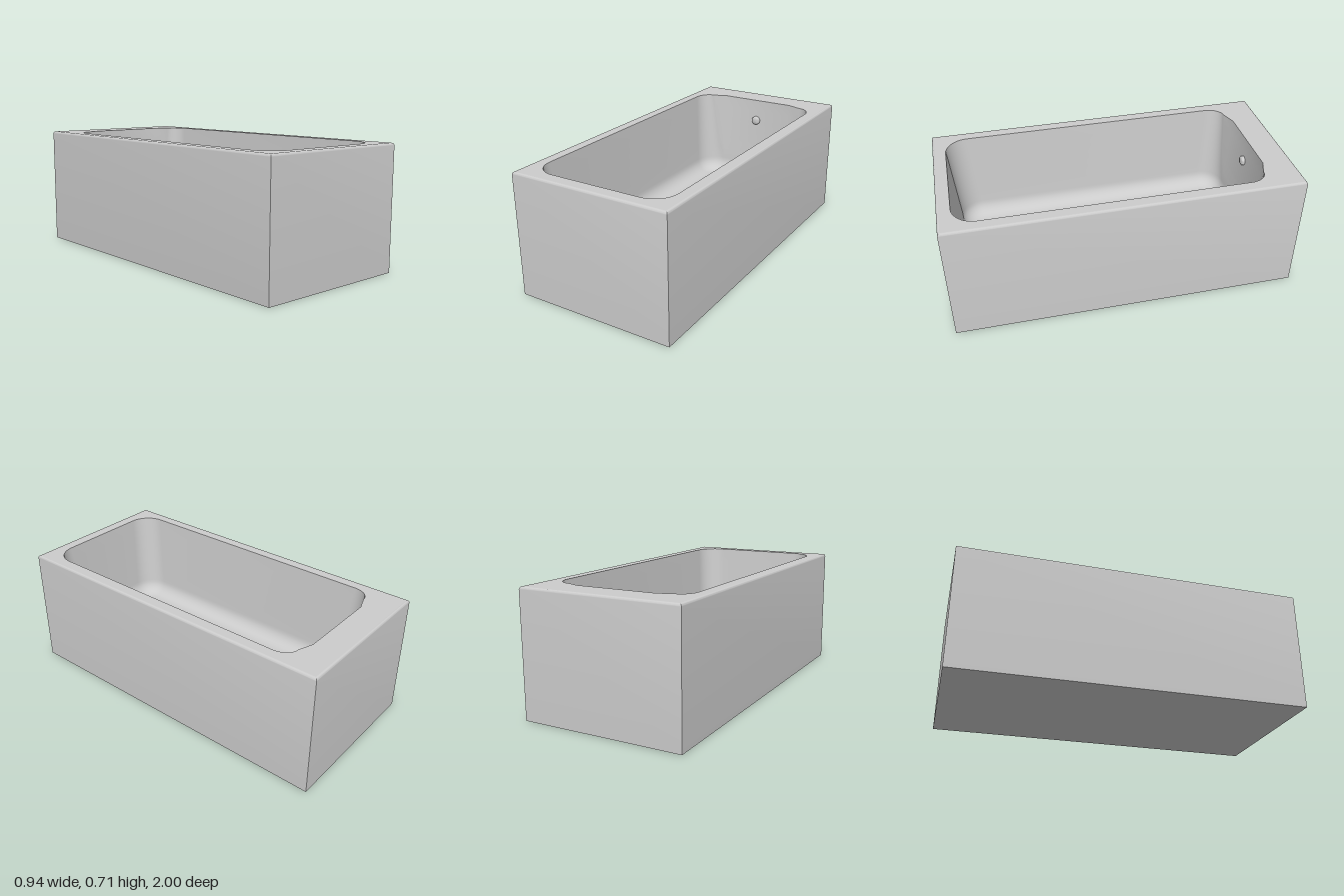
import * as THREE from 'three';
import { toCreasedNormals } from 'three/addons/utils/BufferGeometryUtils.js';

const W = 0.47, L = 1, H = 0.715; // half width, half length, height
const FLOOR = 0.18;
const grey = new THREE.MeshStandardMaterial({ color: 0xcccccc });

function part(name, geometry) {
  const mesh = new THREE.Mesh(geometry, grey);
  mesh.name = name;
  return mesh;
}

// Joins equal-length loops of [x, z] points, each at its own height
function loft(rings, crease) {
  const n = rings[0].pts.length, pos = [], idx = [];
  for (const { pts, y } of rings) for (const [x, z] of pts) pos.push(x, y, z);
  for (let i = 0; i < rings.length - 1; i++) {
    for (let j = 0; j < n; j++) {
      const a = i * n + j, b = i * n + (j + 1) % n;
      idx.push(a, b, a + n, b, b + n, a + n);
    }
  }
  const g = new THREE.BufferGeometry();
  g.setAttribute('position', new THREE.Float32BufferAttribute(pos, 3));
  g.setIndex(idx);
  return toCreasedNormals(g, crease);
}

const rect = (d) => [[W - d, L - d], [W - d, d - L], [d - W, d - L], [d - W, L - d]];
const point = (n, z = 0) => Array.from({ length: n }, () => [0, z]);

// Basin outline: rounded at the foot (+z), rounded with a shallow cut at the tap end (-z)
function basinLoop(hx, back, front, r, cut) {
  const half = [], S = 10;
  for (let i = 0; i <= S; i++) {
    const t = (i / S) * Math.PI / 2;
    half.push([hx - r + r * Math.sin(t), front - r + r * Math.cos(t)]);
  }
  const rx = r - cut * 1.6;
  for (let i = 0; i <= S; i++) {
    const t = (i / S) * Math.PI / 2;
    half.push([hx - rx + rx * Math.cos(t), back + cut + r - cut - (r - cut) * Math.sin(t)]);
  }
  half.push([hx - rx - 2.6 * cut - 0.005, back]);
  return [...half, ...half.slice().reverse().map(([x, z]) => [-x, z])];
}

export function createModel() {
  const tub = new THREE.Group();
  tub.name = 'bathtub';

  // Outer shell with a closed base and a small rounded top edge
  const edge = 0.014, shell = [{ pts: point(4), y: 0 }, { pts: rect(0), y: 0 }];
  for (let i = 0; i <= 5; i++) {
    const t = (i / 5) * Math.PI / 2;
    shell.push({ pts: rect(edge * (1 - Math.cos(t))), y: H - edge + edge * Math.sin(t) });
  }
  tub.add(part('outerShell', loft(shell, 0.6)));

  // Basin: gently sloping walls, then a rounded turn into the flat floor
  const basin = [];
  const fillet = 0.09, wallEnd = FLOOR + fillet;
  for (let i = 0; i <= 6; i++) {
    const t = i / 6;
    basin.push({
      pts: basinLoop(0.4 - 0.03 * t, -0.83 + 0.03 * t, 0.925 - 0.04 * t, 0.13, 0.03 * (1 - t)),
      y: H + (wallEnd - H) * t,
    });
  }
  for (let i = 1; i <= 8; i++) {
    const t = (i / 8) * Math.PI / 2, d = fillet * (1 - Math.cos(t));
    basin.push({
      pts: basinLoop(0.37 - d, -0.8 + d, 0.885 - d, 0.13 - d, 0),
      y: wallEnd - fillet * Math.sin(t),
    });
  }
  basin.push({ pts: point(basin[0].pts.length), y: FLOOR });
  tub.add(part('basin', loft(basin, 0.7)));

  // Flat rim between the shell and the basin opening
  const toShape = (pts) => pts.map(([x, z]) => new THREE.Vector2(x, -z));
  const rim = new THREE.Shape(toShape(rect(edge)));
  rim.holes.push(new THREE.Path(toShape(basin[0].pts)));
  tub.add(part('rim', new THREE.ShapeGeometry(rim).rotateX(-Math.PI / 2).translate(0, H, 0)));

  // Overflow knob on the tap-end wall
  const profile = [[0, 0.026], [0.018, 0.025], [0.025, 0.021], [0.028, 0.015], [0.028, 0]]
    .reverse().map(([x, y]) => new THREE.Vector2(x, y));
  const knob = part('overflowKnob', toCreasedNormals(new THREE.LatheGeometry(profile, 24), 0.6));
  knob.rotation.x = Math.PI / 2;
  knob.position.set(0, 0.578, -0.826);
  tub.add(knob);

  // Drain set in the floor
  const drain = part('drain', new THREE.CylinderGeometry(0.018, 0.018, 0.004, 24));
  drain.position.set(0, FLOOR, -0.5);
  tub.add(drain);

  return tub;
}
